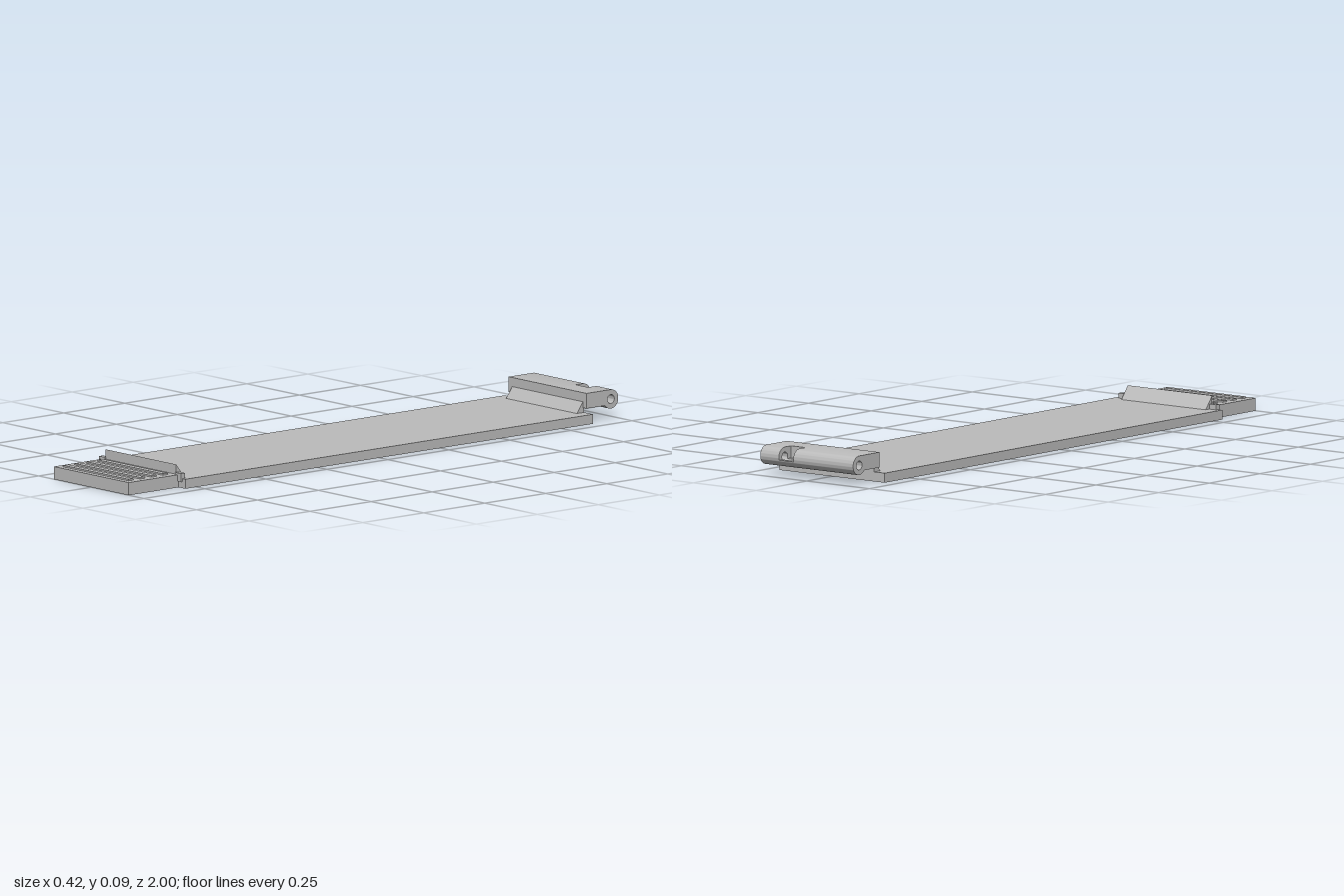
import * as THREE from 'three';
import { toCreasedNormals } from 'three/addons/utils/BufferGeometryUtils.js';

const grey = new THREE.MeshStandardMaterial({ color: 0xbbbbbb });
grey.name = 'grey plastic';

export function createModel() {
  const model = new THREE.Group();
  model.name = 'hingedStrip';

  const add = (name, geometry) => {
    const mesh = new THREE.Mesh(geometry, grey);
    mesh.name = name;
    model.add(mesh);
    return mesh;
  };
  const box = (name, x0, x1, y0, y1, z0, z1) => {
    const g = new THREE.BoxGeometry(x1 - x0, y1 - y0, z1 - z0);
    g.translate((x0 + x1) / 2, (y0 + y1) / 2, (z0 + z1) / 2);
    return add(name, g);
  };
  const extrude = (shape, depth) =>
    new THREE.ExtrudeGeometry(shape, { depth, bevelEnabled: false, curveSegments: 24 });

  // Side profile drawn as (-z, y), swept from x0 to x1
  const sweep = (name, shape, x0, x1) => {
    const g = extrude(shape, x1 - x0);
    g.rotateY(Math.PI / 2);
    g.translate(x0, 0, 0);
    return add(name, toCreasedNormals(g, 0.5));
  };
  const polygon = (points) => new THREE.Shape(points.map((p) => new THREE.Vector2(...p)));

  // Main strip: solid top and an underside layer with shallow recesses
  const recess = 0.007, front = 0.795, back = -0.875;
  box('stripTop', -0.21, 0.21, recess, 0.03, back, front);
  const underside = polygon([[-0.21, back], [0.21, back], [0.21, front], [-0.21, front]]);

  // Rounded pocket whose inner edge carries square clip notches
  const pocket = (inner, outer, notch, z0, z1, clips) => {
    const p = new THREE.Path();
    const r = 0.05, s = Math.sign(outer - inner);
    p.moveTo(inner + s * r, z1);
    p.lineTo(outer - s * r, z1);
    p.quadraticCurveTo(outer, z1, outer, z1 - r);
    p.lineTo(outer, z0 + r);
    p.quadraticCurveTo(outer, z0, outer - s * r, z0);
    p.lineTo(inner + s * r, z0);
    p.quadraticCurveTo(inner, z0, inner, z0 + r);
    for (const z of clips) {
      p.lineTo(inner, z - 0.02);
      p.lineTo(notch, z - 0.02);
      p.lineTo(notch, z + 0.02);
      p.lineTo(inner, z + 0.02);
    }
    p.lineTo(inner, z1 - r);
    p.quadraticCurveTo(inner, z1, inner + s * r, z1);
    underside.holes.push(p);
  };
  const clipRow = (z, n) => Array.from({ length: n }, (_, i) => z + i * 0.137);
  for (const side of [-1, 1]) {
    pocket(side * 0.06, side * 0.188, side * 0.03, -0.28, 0.74, clipRow(-0.2, 7));
    pocket(side * 0.06, side * 0.188, side * 0.03, -0.81, -0.31, clipRow(-0.74, 4).slice(0, 3));
  }
  const under = extrude(underside, recess);
  under.rotateX(Math.PI / 2);
  under.translate(0, recess, 0);
  add('stripUnderside', under);

  // Front finger tab with grip ridges
  box('fingerTab', -0.178, 0.178, 0, 0.04, front, 1);
  for (let i = 0; i < 4; i++) {
    const z = 0.83 + i * 0.047;
    box('gripRidge', -0.155, 0.155, 0.04, 0.045, z - 0.01, z + 0.01);
  }

  // Front stop wedge and its small end lugs
  sweep('frontWedge', polygon([[-0.797, 0.03], [-0.765, 0.03], [-0.797, 0.071]]), -0.168, 0.168);
  for (const s of [-1, 1]) {
    const a = s * 0.165, b = s * 0.195;
    box('endLug', Math.min(a, b), Math.max(a, b), 0.02, 0.046, 0.783, 0.8);
  }

  // Rear wedge supporting the hinge block
  sweep('rearWedge', polygon([[0.845, 0.03], [0.875, 0.03], [0.875, 0.071]]), -0.168, 0.168);

  // Hinge block with a bored round end
  const cu = 0.97, cv = 0.063, R = 0.03, bore = 0.014, low = -2.498;
  const full = polygon([[0.87, 0.045], [0.87, 0.093], [cu, 0.093]]);
  full.absarc(cu, cv, R, Math.PI / 2, low, true);
  const hole = new THREE.Path();
  hole.absarc(cu, cv, bore, 0, Math.PI * 2, false);
  full.holes.push(hole);
  sweep('hingeBlock', full, -0.185, 0.053);
  sweep('hingeBlockEnd', full, 0.111, 0.185);

  // Cut-away section that exposes the bore
  const cut = polygon([[0.87, 0.045], [0.87, 0.093], [0.94, 0.093], [0.94, 0.055], [cu - 0.0115, 0.055]]);
  cut.absarc(cu, cv, bore, -2.533, -0.608, false);
  cut.lineTo(cu + 0.0289, 0.055);
  cut.absarc(cu, cv, R, -0.27, low, true);
  sweep('hingeNotch', cut, 0.053, 0.111);

  return model;
}
